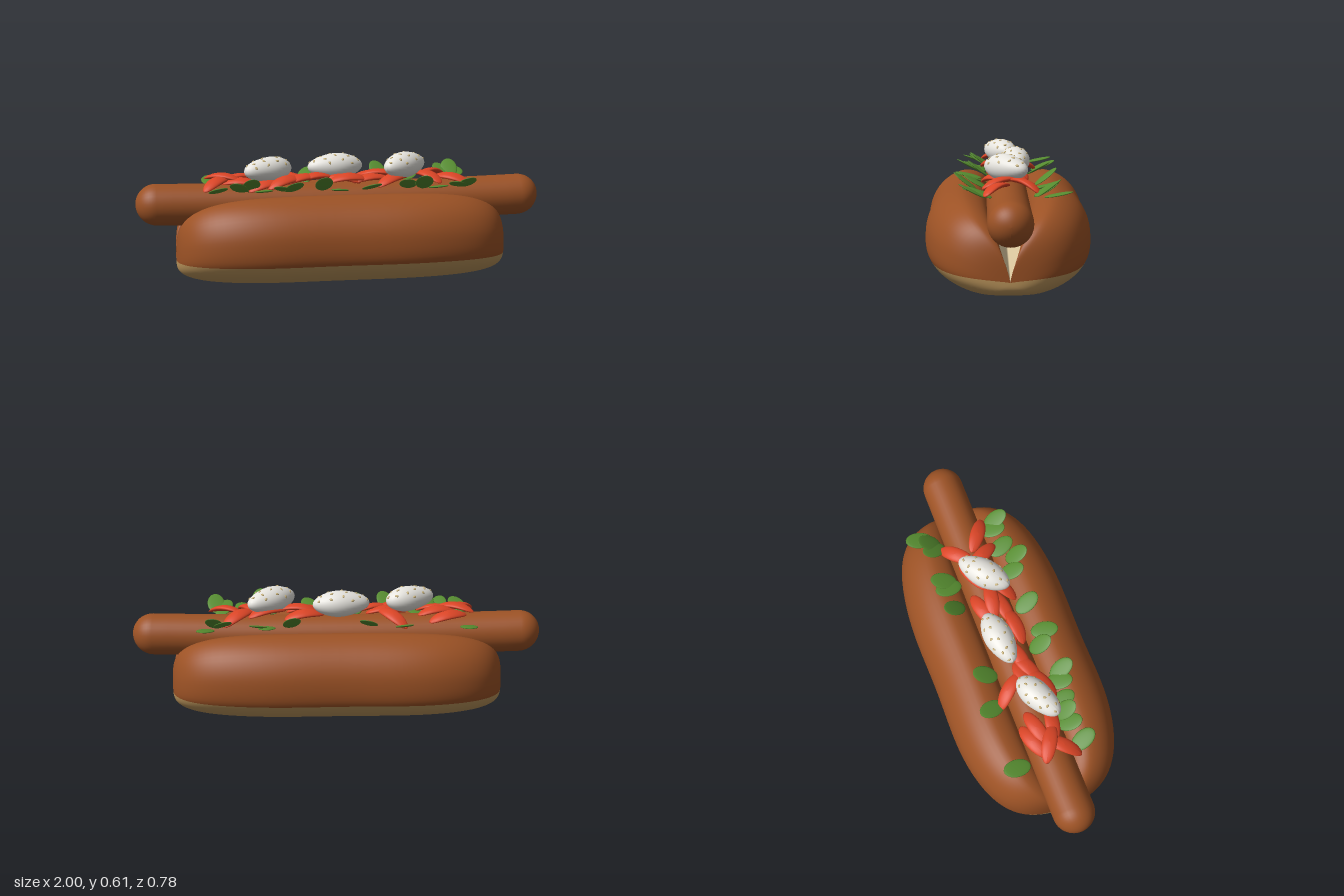
import * as THREE from 'three';

const mat = (name, color) => {
  const m = new THREE.MeshStandardMaterial({ color });
  m.name = name;
  return m;
};

export function createModel() {
  const crust = mat('crust brown', 0x9c5225);
  const base = mat('base tan', 0xbd965c);
  const crumb = mat('crumb cream', 0xeed9ac);
  const red = mat('pepper red', 0xdb4526);
  const green = mat('leaf green', 0x568c30);
  const white = mat('cream white', 0xe6e4de);
  const seed = mat('seed beige', 0xc8b27c);

  const model = new THREE.Group();
  model.name = 'hotDog';
  const add = (parent, name, geo, material) => {
    const mesh = new THREE.Mesh(geo, material);
    mesh.name = name;
    parent.add(mesh);
    return mesh;
  };

  // Bun: notched cross-section (z, y) swept along x, shrinking into rounded ends
  function bunGeometry() {
    const half = [[0, .145], [.03, .215], [.06, .28], [.09, .345], [.115, .395], [.16, .425],
      [.22, .437], [.29, .41], [.345, .36], [.38, .29], [.39, .22], [.387, .165], [.375, .13],
      [.34, .085], [.27, .04], [.18, .01], [.09, .001], [0, 0]];
    const curve = new THREE.CatmullRomCurve3(half.map(([z, y]) => new THREE.Vector3(0, y, z)));
    const n = (half.length - 1) * 3;
    const right = [];
    for (let k = 0; k <= n; k++) right.push(curve.getPoint(k / n));
    const left = right.slice(1, n).reverse().map((p) => new THREE.Vector3(0, p.y, -p.z));
    const loop = [...right, ...left];
    const count = loop.length, rings = 56, pole = 0.1;
    const pos = [], parts = [[], [], []];
    for (let i = 0; i <= rings; i++) {
      const t = (i / rings) * 2 - 1;
      const u = Math.sign(t) * (1 - Math.pow(1 - Math.abs(t), 3));
      const s = Math.max(0.002, Math.pow(Math.max(0, 1 - u ** 4), 0.274));
      const wide = Math.pow(s, 1.3) * (1 + 0.008 * Math.sin(u * 8 - 1));
      for (const p of loop) pos.push(u * 0.81, pole + (p.y - pole) * s, p.z * wide);
      if (i === rings) break;
      for (let j = 0; j < count; j++) {
        const k = Math.min(j, count - 1 - j);
        const part = k < 7 ? 0 : k < 36 ? 1 : 2;
        const a = i * count + j, b = i * count + (j + 1) % count;
        parts[part].push(a, b, a + count, b, b + count, a + count);
      }
    }
    const geo = new THREE.BufferGeometry();
    geo.setAttribute('position', new THREE.Float32BufferAttribute(pos, 3));
    geo.setIndex(parts.flat());
    let start = 0;
    parts.forEach((p, g) => { geo.addGroup(start, p.length, g); start += p.length; });
    geo.computeVertexNormals();
    return geo;
  }
  add(model, 'bun', bunGeometry(), [crumb, crust, base]);

  // Sausage: capsule along x, sagging slightly in the middle
  const sausageGeo = new THREE.CapsuleGeometry(0.101, 1.798, 12, 32, 24).rotateZ(Math.PI / 2);
  const sp = sausageGeo.attributes.position;
  for (let i = 0; i < sp.count; i++) {
    const x = sp.getX(i);
    sp.setY(i, sp.getY(i) + 0.38 - 0.016 * (1 - x * x));
  }
  sausageGeo.computeVertexNormals();
  add(model, 'sausage', sausageGeo, crust);

  // Pepper slices: thin bent ovals draped over the sausage [x, z, yaw in degrees]
  const sliceGeo = new THREE.SphereGeometry(1, 20, 12).scale(0.1, 0.014, 0.036);
  const lp = sliceGeo.attributes.position;
  for (let i = 0; i < lp.count; i++) lp.setY(i, lp.getY(i) - 2.2 * lp.getX(i) ** 2);
  sliceGeo.computeVertexNormals();
  const slices = new THREE.Group();
  slices.name = 'pepperSlices';
  model.add(slices);
  [[-.54, -.07, 20], [-.49, -.03, 15], [-.58, .0, -30], [-.49, .05, -12], [-.61, .06, 50],
    [-.27, -.09, -50], [-.24, 0, 5], [-.19, .04, 25], [-.28, .08, 30], [-.37, .08, 25],
    [-.12, .02, 15], [.03, .065, 5], [.0, .03, -25], [.16, -.06, 15], [.19, .0, -10],
    [.15, .04, 12], [.25, .07, 35], [.48, -.08, 45], [.55, .06, -35], [.43, .04, -60],
    [.34, -.04, 25]].forEach(([x, z, yaw], i) => {
    const m = add(slices, 'pepperSlice', sliceGeo, red);
    const pivot = m.rotation;
    pivot.order = 'XYZ';
    pivot.set(z * 4, THREE.MathUtils.degToRad(yaw), 0);
    m.position.set(x, 0.497 - 2.6 * z * z + 0.007 * (i % 3), z);
  });

  // Leaves: thin ovals leaning outwards along both sides [x, z]
  const leafGeo = new THREE.SphereGeometry(1, 18, 10).scale(0.043, 0.006, 0.068);
  const leaves = new THREE.Group();
  leaves.name = 'leaves';
  model.add(leaves);
  [[-.63, -.18], [-.32, -.19], [-.15, -.16], [.22, -.18], [.34, -.17], [.38, -.18], [.55, -.17],
    [.59, -.18], [.63, -.22], [-.61, .16], [-.51, .13], [-.45, .13], [-.39, .14], [-.3, .16],
    [-.25, .19], [-.1, .14], [-.03, .19], [.13, .16], [.31, .15], [.38, .2], [.46, .15],
    [.56, .14], [.6, .17]].forEach(([x, z], i) => {
    const m = add(leaves, 'leaf', leafGeo, green);
    const side = Math.sign(z), tilt = 0.2 + 0.15 * (i % 4);
    m.rotation.order = 'YXZ';
    m.rotation.set(-side * tilt, 0.35 * Math.sin(i * 2.3), 0);
    m.position.set(x, 0.435 + 0.068 * Math.sin(tilt) + 0.12 * (Math.abs(z) - 0.1), z);
  });

  // Cream dollops, each sprinkled with seeds [x, y, z, half length, yaw in degrees]
  const seedGeo = new THREE.SphereGeometry(1, 8, 6).scale(0.009, 0.004, 0.006);
  [[-.36, .54, .03, .13, 27], [-.02, .537, -.04, .14, 8], [.32, .543, .01, .14, 40]].forEach(
    ([x, y, z, len, yaw], d) => {
      const dollop = new THREE.Group();
      dollop.name = 'creamDollop';
      dollop.position.set(x, y, z);
      dollop.rotation.y = THREE.MathUtils.degToRad(yaw);
      model.add(dollop);
      const geo = new THREE.SphereGeometry(1, 32, 20).scale(len, 0.06, 0.066);
      const p = geo.attributes.position;
      for (let i = 0; i < p.count; i++) {
        const k = 1 + 0.07 * Math.sin(p.getX(i) * 20 + d);
        p.setXYZ(i, p.getX(i), p.getY(i) * k, p.getZ(i) * k);
      }
      geo.computeVertexNormals();
      add(dollop, 'cream', geo, white);
      for (let i = 0; i < 18; i++) {
        const up = 0.3 + 0.68 * ((i + 0.5) / 18), a = i * 2.4 + d;
        const r = Math.sqrt(1 - up * up), sx = len * r * Math.cos(a);
        const k = 1 + 0.07 * Math.sin(sx * 20 + d);
        const m = add(dollop, 'seed', seedGeo, seed);
        m.position.set(sx, 0.06 * up * k, 0.066 * r * Math.sin(a) * k);
        const normal = new THREE.Vector3(sx / len ** 2, m.position.y / 0.0036, m.position.z / 0.0044);
        m.quaternion.setFromUnitVectors(new THREE.Vector3(0, 1, 0), normal.normalize());
        m.rotateY(i * 1.7);
      }
    });

  return model;
}
